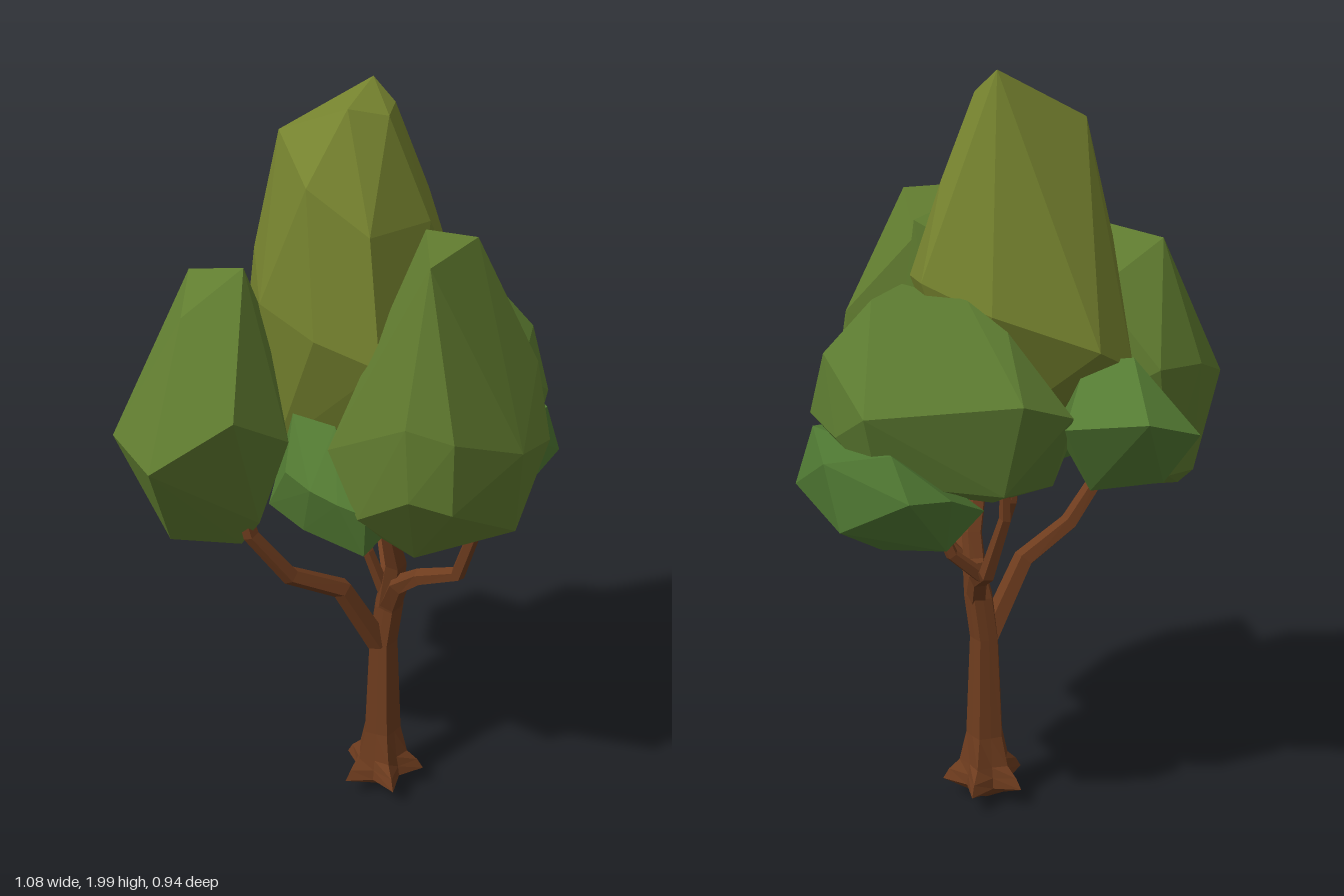
import * as THREE from 'three';
import { ConvexGeometry } from 'three/addons/geometries/ConvexGeometry.js';

const material = (color) => new THREE.MeshStandardMaterial({ color, flatShading: true, roughness: 1 });
const bark = material(0x6e3c1e);

// Joins equal closed rings of points into a faceted skin with both ends closed
function loft(rings) {
  const n = rings[0].length, pos = [], idx = [];
  rings.forEach((r) => r.forEach((p) => pos.push(p.x, p.y, p.z)));
  for (let i = 0; i < rings.length - 1; i++)
    for (let j = 0; j < n; j++) {
      const a = i * n + j, b = i * n + (j + 1) % n;
      idx.push(a, b, a + n, b, b + n, a + n);
    }
  const last = (rings.length - 1) * n;
  for (let j = 1; j < n - 1; j++) idx.push(0, j + 1, j, last, last + j, last + j + 1);
  const g = new THREE.BufferGeometry();
  g.setAttribute('position', new THREE.Float32BufferAttribute(pos, 3));
  g.setIndex(idx);
  g.computeVertexNormals();
  return g;
}

// Tapering limb along points [x, y, z, radius]
function limb(path, sides = 5) {
  const pts = path.map(([x, y, z]) => new THREE.Vector3(x, y, z));
  const rings = pts.map((p, i) => {
    const dir = pts[Math.min(i + 1, pts.length - 1)].clone().sub(pts[Math.max(i - 1, 0)]).normalize();
    const q = new THREE.Quaternion().setFromUnitVectors(new THREE.Vector3(0, 1, 0), dir);
    return Array.from({ length: sides }, (_, j) => {
      const a = (j / sides) * Math.PI * 2, r = path[i][3];
      return new THREE.Vector3(Math.cos(a) * r, 0, -Math.sin(a) * r).applyQuaternion(q).add(p);
    });
  });
  return loft(rings);
}

// Trunk with a star-shaped root flare: [y, valley radius, root radius, x shift]
function trunk() {
  const levels = [[0.01, 0.006, 0.008, 0], [0.04, 0.045, 0.06, 0], [0.065, 0.066, 0.122, 0], [0.095, 0.062, 0.105, 0],
    [0.125, 0.056, 0.075, 0], [0.21, 0.046, 0.055, 0], [0.5, 0.035, 0.042, 0], [0.62, 0.035, 0.042, 0.015], [0.72, 0.026, 0.03, 0.03]];
  return loft(levels.map(([y, inner, outer, shift]) => Array.from({ length: 10 }, (_, j) => {
    const a = (j / 10) * Math.PI * 2 + 0.1, r = j % 2 ? inner : outer;
    return new THREE.Vector3(0.09 + shift + Math.cos(a) * r, y, 0.02 - Math.sin(a) * r);
  })));
}

// Boughs reaching into the crown
const branches = {
  frontRightBranch: [[0.08, 0.5, 0.03, 0.034], [-0.01, 0.7, 0.1, 0.03], [-0.13, 0.78, 0.19, 0.026], [-0.22, 0.92, 0.24, 0.022], [-0.25, 1.05, 0.25, 0.015]],
  frontLeftBranch: [[0.11, 0.62, 0.03, 0.032], [0.14, 0.72, 0.09, 0.028], [0.2, 0.77, 0.13, 0.023], [0.3, 0.81, 0.17, 0.021], [0.34, 0.95, 0.2, 0.017], [0.35, 1.02, 0.2, 0.012]],
  backBranch: [[0.11, 0.62, 0.01, 0.03], [0.1, 0.69, -0.04, 0.026], [0.06, 0.76, -0.19, 0.022], [0.01, 0.92, -0.22, 0.017], [0.01, 1.05, -0.23, 0.012]],
  backFork: [[0.08, 0.74, -0.15, 0.02], [0.15, 0.81, -0.19, 0.017], [0.2, 0.94, -0.2, 0.014], [0.21, 1.05, -0.2, 0.01]],
  rightTwig: [[0.1, 0.64, 0.02, 0.02], [0.05, 0.78, 0.03, 0.016], [0.01, 0.9, -0.01, 0.013], [0, 1.08, -0.02, 0.01]],
  centreBranch: [[0.11, 0.62, 0.03, 0.034], [0.13, 0.78, 0.08, 0.03], [0.11, 0.95, 0.15, 0.02], [0.1, 1.1, 0.17, 0.012]],
};

// Faceted leaf masses, each a hull around a few corner points
const foliage = {
  tallCrown: [0x76832f, [
    [0.04, 2, -0.09], [0.01, 1.96, 0.12], [0.1, 1.94, 0.08], [0.1, 1.95, -0.04], [-0.17, 1.89, 0.02], [0.2, 1.7, 0.08],
    [0.18, 1.74, -0.08], [-0.07, 1.8, 0.22], [0.08, 1.7, 0.25], [-0.24, 1.6, 0.01], [-0.2, 1.5, 0.15],
    [-0.05, 1.45, 0.26], [0.11, 1.4, 0.29], [0.19, 1.4, 0.18], [0.27, 1.5, -0.03], [0.22, 1.5, -0.17],
    [0.04, 1.43, -0.235], [-0.22, 1.34, -0.2], [-0.3, 1.28, -0.09], [-0.18, 1.1, 0.1], [0.1, 1.08, 0.15], [0.1, 1.08, -0.1]]],
  frontRightFoliage: [0x607c30, [
    [-0.22, 1.61, 0.22], [-0.37, 1.58, 0.15], [-0.36, 1.5, 0.28], [-0.2, 1.45, 0.1], [-0.37, 1.25, 0.04],
    [-0.54, 1.2, 0.3], [-0.48, 1.25, 0.14], [-0.41, 1.17, 0.45], [-0.21, 1.3, 0.42], [-0.11, 1.2, 0.28],
    [-0.2, 1.15, 0.08], [-0.48, 1.0, 0.24], [-0.47, 0.94, 0.2], [-0.43, 0.89, 0.24], [-0.25, 0.88, 0.22],
    [-0.19, 0.97, 0.27], [-0.24, 0.95, 0.14], [-0.4, 0.94, 0.13]]],
  frontLeftFoliage: [0x627d30, [
    [0.2, 1.71, 0.19], [0.32, 1.7, 0.2], [0.23, 1.68, 0.39], [0.28, 1.58, 0.12], [0.47, 1.38, 0.12],
    [0.51, 1.2, 0.17], [0.45, 1.22, 0.31], [0.19, 1.33, 0.465], [0.3, 1.3, 0.465], [0.2, 1.15, 0.465],
    [0.3, 1.12, 0.455], [-0.01, 1.2, 0.31], [0.07, 1.05, 0.37], [0.2, 0.92, 0.3], [0.44, 0.95, 0.18],
    [0.1, 0.93, 0.22], [0.2, 0.91, 0.1], [0.45, 0.99, 0.09], [0.14, 1.3, 0.08]]],
  backFoliage: [0x5d7c31, [
    [0.1, 1.47, -0.23], [0.33, 1.47, -0.24], [0.3, 1.47, 0.02], [0, 1.4, -0.26], [0.43, 1.33, 0.1],
    [0.45, 1.34, -0.25], [-0.05, 1.25, -0.4], [0.32, 1.22, -0.43], [0.41, 1.15, -0.33], [0.5, 1.18, -0.2],
    [-0.16, 1.2, -0.29], [-0.15, 1.1, -0.05], [0.45, 1.05, 0.08], [0, 1.02, -0.36], [0.3, 1.05, -0.38],
    [0.3, 0.95, -0.1], [0.05, 0.94, -0.15], [-0.1, 0.97, -0.09], [0.1, 0.95, 0.1], [0.35, 0.96, 0.1]]],
  lowBackFoliage: [0x4f7832, [
    [0.21, 1.03, -0.47], [0.26, 1.13, -0.41], [0.42, 1.11, -0.42], [0.5, 1.14, -0.18], [0.54, 1, -0.22],
    [0.44, 0.94, -0.04], [0.38, 0.95, -0.45], [0.3, 0.88, -0.36], [0.42, 0.91, -0.27], [0.14, 0.88, -0.36],
    [0.06, 0.95, -0.25], [0.2, 0.93, -0.04], [0.12, 1.02, -0.4], [0.42, 1.12, -0.02]]],
  backRightFoliage: [0x547b33, [
    [-0.3, 1.32, -0.14], [-0.18, 1.3, -0.1], [-0.34, 1.2, -0.345], [-0.14, 1.17, -0.29], [-0.465, 1.15, -0.23],
    [-0.45, 1.12, -0.03], [-0.22, 1.15, 0.06], [-0.1, 1.1, 0], [-0.38, 1.02, -0.2], [-0.2, 1, -0.22], [-0.25, 0.98, -0.04]]],
  lowFrontFoliage: [0x537b33, [
    [-0.11, 1.25, 0.22], [0, 1.24, 0.26], [-0.12, 1.12, 0.28], [-0.05, 1.1, 0.335], [0.02, 1.08, 0.36],
    [-0.18, 0.99, 0.2], [0.09, 1.06, 0.37], [-0.08, 0.96, 0.27], [0.08, 0.93, 0.33], [0.12, 0.93, 0.2],
    [0, 0.95, 0.08], [-0.1, 1.05, 0.06]]],
  leftSprig: [0x607d30, [
    [0.17, 1.58, 0.02], [0.27, 1.63, 0.05], [0.2, 1.66, 0.13], [0.3, 1.42, 0.06], [0.17, 1.4, 0.15], [0.2, 1.1, 0.02], [0.3, 1.1, 0.1]]],
};

export function createModel() {
  const tree = new THREE.Group();
  tree.name = 'tree';
  const add = (name, geometry, mat) => {
    const mesh = new THREE.Mesh(geometry, mat);
    mesh.name = name;
    tree.add(mesh);
  };
  add('trunk', trunk(), bark);
  for (const [name, path] of Object.entries(branches)) add(name, limb(path), bark);
  for (const [name, [color, pts]] of Object.entries(foliage))
    add(name, new ConvexGeometry(pts.map((p) => new THREE.Vector3(...p))), material(color));
  return tree;
}
